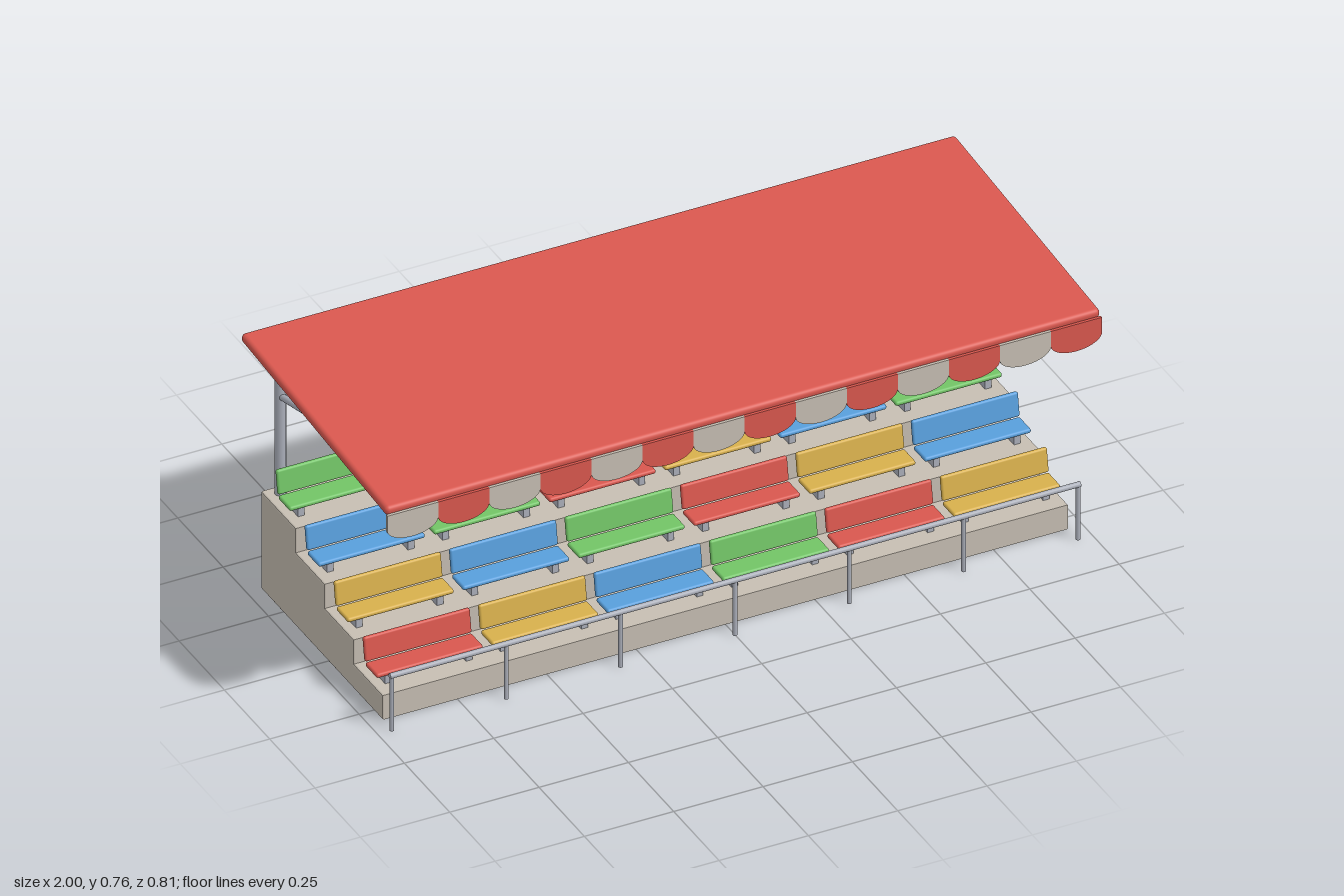
import * as THREE from 'three';
import { RoundedBoxGeometry } from 'three/addons/geometries/RoundedBoxGeometry.js';

const material = (name, color) => {
  const m = new THREE.MeshStandardMaterial({ color });
  m.name = name;
  return m;
};

export function createModel() {
  const red = material('red', 0xd9574e);
  const yellow = material('yellow', 0xd8b04c);
  const blue = material('blue', 0x589fdc);
  const green = material('green', 0x72c466);
  const steel = material('steel', 0xabafba);
  const concrete = material('concrete', 0xc6beb2);

  const model = new THREE.Group();
  model.name = 'grandstand';

  const add = (parent, name, geometry, mat, x = 0, y = 0, z = 0) => {
    const mesh = new THREE.Mesh(geometry, mat);
    mesh.name = name;
    mesh.position.set(x, y, z);
    parent.add(mesh);
    return mesh;
  };

  // Round bar between two points
  const bar = (name, from, to, radius) => {
    const a = new THREE.Vector3(...from), b = new THREE.Vector3(...to);
    const dir = b.clone().sub(a);
    const mesh = add(model, name, new THREE.CylinderGeometry(radius, radius, dir.length(), 16), steel);
    mesh.position.copy(a).add(b).multiplyScalar(0.5);
    mesh.quaternion.setFromUnitVectors(new THREE.Vector3(0, 1, 0), dir.normalize());
    return mesh;
  };

  // Stepped base: a stair profile (z, y) extruded across the width
  const rows = 4, rise = 0.0725, run = 0.16, front = 0.3, back = -0.37, half = 0.96, bevel = 0.005;
  const profile = new THREE.Shape();
  profile.moveTo(back, 0);
  profile.lineTo(front, 0);
  for (let r = 0; r < rows; r++) {
    profile.lineTo(front - r * run, (r + 1) * rise);
    profile.lineTo(r < rows - 1 ? front - (r + 1) * run : back, (r + 1) * rise);
  }
  profile.closePath();
  const stair = new THREE.ExtrudeGeometry(profile, {
    depth: 2 * (half - bevel), bevelThickness: bevel, bevelSize: bevel, bevelOffset: -bevel, bevelSegments: 2,
  });
  stair.translate(0, 0, -(half - bevel)).rotateY(-Math.PI / 2);
  // The rotation sends profile x to +z and the extrusion to -x
  add(model, 'steppedBase', stair, concrete);

  // Seats: six benches per row, colours shifting by one each row
  const seatColours = [red, yellow, blue, green];
  const cushionGeo = new RoundedBoxGeometry(0.298, 0.013, 0.066, 3, 0.006);
  const backGeo = new RoundedBoxGeometry(0.298, 0.068, 0.013, 3, 0.006);
  const supportGeo = new THREE.BoxGeometry(0.018, 0.03, 0.05);
  for (let r = 0; r < rows; r++) {
    for (let c = 0; c < 6; c++) {
      const seat = new THREE.Group();
      seat.name = 'seat';
      seat.position.set((c - 2.5) * 0.323, (r + 1) * rise, 0.23 - r * run);
      const colour = seatColours[(r + c) % 4];
      add(seat, 'seatCushion', cushionGeo, colour, 0, 0.033, 0);
      add(seat, 'seatBack', backGeo, colour, 0, 0.073, -0.04).rotation.x = -0.16;
      for (const s of [-1, 1]) add(seat, 'seatSupport', supportGeo, steel, s * 0.113, 0.014, 0);
      model.add(seat);
    }
  }

  // Roof posts and sloping braces
  for (const x of [-0.92, 0, 0.92]) {
    bar('roofPost', [x, 0.285, -0.342], [x, 0.735, -0.342], 0.015);
    bar('roofBrace', [x, 0.58, -0.342], [x, 0.7, 0.14], 0.009);
  }

  // Sloping roof
  const roof = add(model, 'roof', new RoundedBoxGeometry(2, 0.027, 0.806, 4, 0.012), red, 0, 0.715, -0.003);
  roof.rotation.x = 0.068;

  // Scalloped valance along the front edge
  const count = 14, w = 2 / count;
  const scallop = new THREE.Shape();
  scallop.moveTo(-w / 2, 0.682);
  scallop.lineTo(-w / 2, 0.638);
  scallop.absellipse(0, 0.638, w / 2, 0.036, Math.PI, 2 * Math.PI, false);
  scallop.lineTo(w / 2, 0.682);
  scallop.closePath();
  const scallopGeo = new THREE.ExtrudeGeometry(scallop, { depth: 0.008, bevelEnabled: false, curveSegments: 16 });
  for (let i = 0; i < count; i++) {
    add(model, 'valanceScallop', scallopGeo, i % 2 ? red : concrete, -1 + (i + 0.5) * w, 0, 0.398);
  }

  // Front railing
  for (let i = -3; i <= 3; i++) bar('railPost', [i * 0.32, 0, 0.352], [i * 0.32, 0.163, 0.352], 0.006);
  bar('handrail', [-0.966, 0.163, 0.352], [0.966, 0.163, 0.352], 0.0075);

  return model;
}
